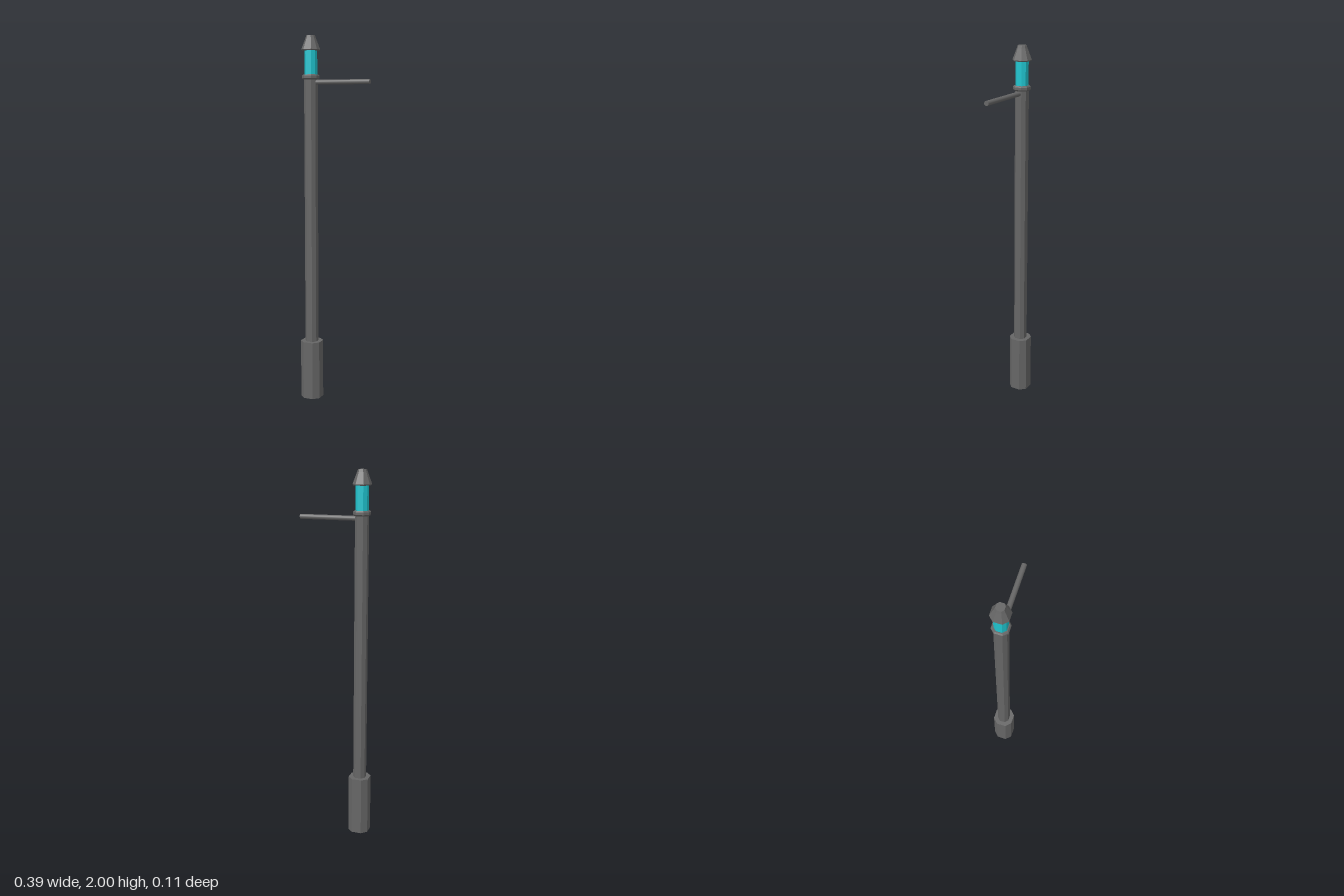
import * as THREE from 'three';

const POST_X = -0.141;
const grey = new THREE.MeshStandardMaterial({ color: 0x666666, flatShading: true });
const armGrey = new THREE.MeshStandardMaterial({ color: 0x666666 });
const cyan = new THREE.MeshStandardMaterial({ color: 0x20c4cf, flatShading: true });

// Square with cut corners: h = half width, c = half length of the straight sides
function ring(h, y) {
  const c = h * 0.48;
  return [[h, c], [c, h], [-c, h], [-h, c], [-h, -c], [-c, -h], [c, -h], [h, -c]]
    .map(([x, z]) => [x, y, z]);
}

// Closed eight-sided solid through a list of [halfWidth, y], bottom to top
function octagonSolid(name, profile, material) {
  const rings = profile.map(([h, y]) => ring(h, y));
  const pos = [];
  const tri = (...corners) => corners.forEach((p) => pos.push(...p));
  for (let r = 0; r < rings.length - 1; r++) {
    const lo = rings[r], hi = rings[r + 1];
    for (let i = 0; i < 8; i++) {
      const j = (i + 1) % 8;
      tri(lo[i], hi[i], hi[j]);
      tri(lo[i], hi[j], lo[j]);
    }
  }
  const bottom = rings[0], top = rings[rings.length - 1];
  for (let i = 1; i < 7; i++) {
    tri(bottom[0], bottom[i], bottom[i + 1]);
    tri(top[0], top[i + 1], top[i]);
  }
  const geometry = new THREE.BufferGeometry();
  geometry.setAttribute('position', new THREE.Float32BufferAttribute(pos, 3));
  geometry.computeVertexNormals();
  const mesh = new THREE.Mesh(geometry, material);
  mesh.name = name;
  mesh.position.x = POST_X;
  return mesh;
}

export function createModel() {
  const model = new THREE.Group();
  model.name = 'lampPost';

  // Post, from the ground up
  model.add(
    octagonSolid('base', [[0.056, 0], [0.056, 0.325]], grey),
    octagonSolid('pole', [[0.033, 0.325], [0.033, 1.775]], grey),
    octagonSolid('collar', [[0.036, 1.768], [0.042, 1.775], [0.042, 1.788], [0.036, 1.795]], grey),
    octagonSolid('lampGlass', [[0.031, 1.79], [0.031, 1.925]], cyan),
    octagonSolid('cap', [[0.042, 1.92], [0.0455, 1.926], [0.025, 1.985], [0.0205, 2]], grey),
  );

  // Crossbar reaching to the left
  const start = POST_X + 0.01, end = 0.197;
  const arm = new THREE.Mesh(new THREE.CylinderGeometry(0.013, 0.013, end - start, 16), armGrey);
  arm.name = 'crossbar';
  arm.rotation.z = Math.PI / 2;
  arm.position.set((start + end) / 2, 1.754, 0);
  model.add(arm);

  return model;
}
